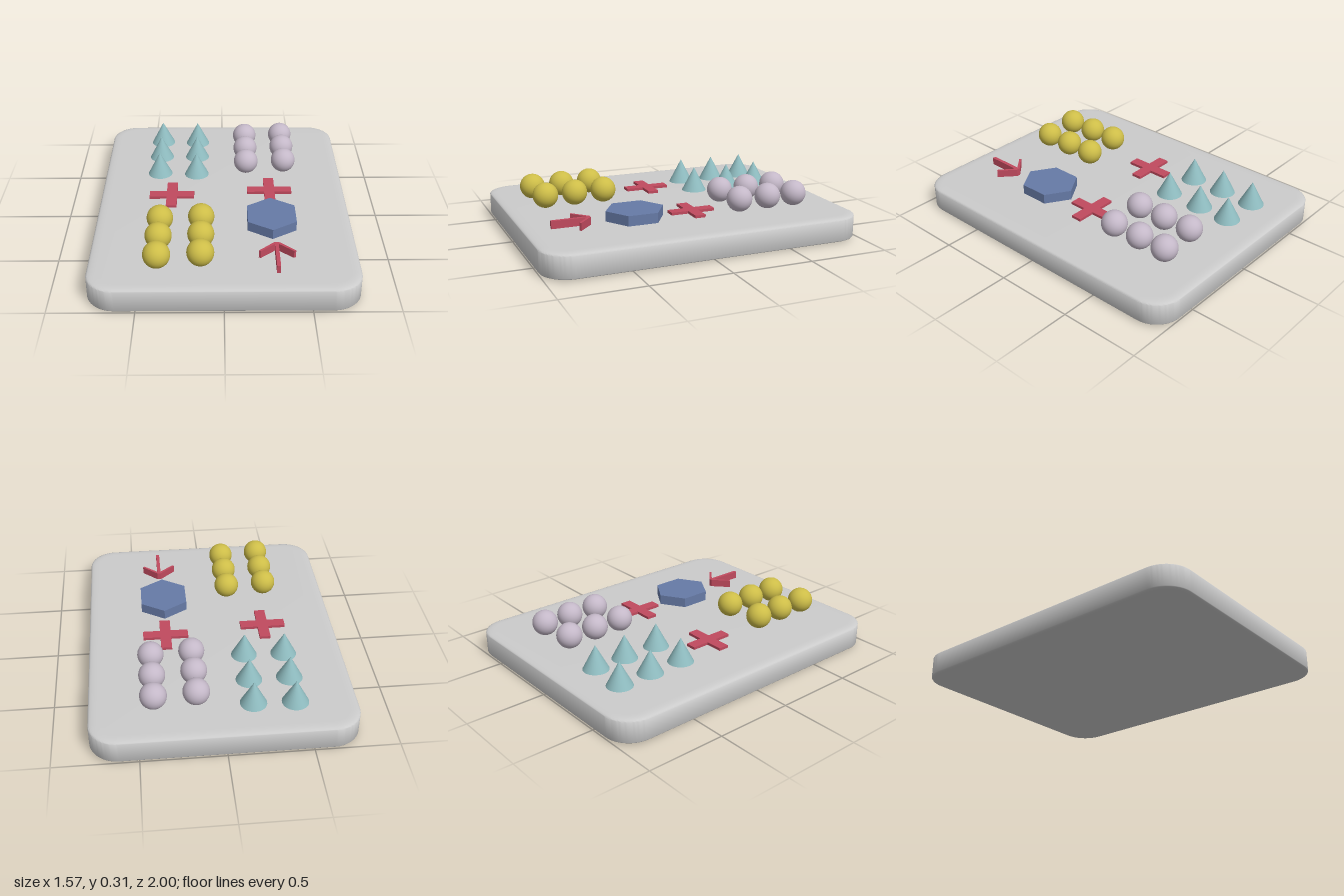
import * as THREE from 'three';
import { toCreasedNormals } from 'three/addons/utils/BufferGeometryUtils.js';

const TOP = 0.155;
const paint = (color) => new THREE.MeshStandardMaterial({ color });

// Upright prism from an outline of [x, z] points, standing on the board
function prism(name, points, height, material, x, z) {
  const shape = new THREE.Shape(points.map(([px, pz]) => new THREE.Vector2(px, -pz)));
  const geometry = new THREE.ExtrudeGeometry(shape, { depth: height, bevelEnabled: false });
  geometry.rotateX(-Math.PI / 2);
  const mesh = new THREE.Mesh(geometry, material);
  mesh.name = name;
  mesh.position.set(x, TOP, z);
  return mesh;
}

// Group of equal pieces at [x, z] places
function cluster(name, geometry, material, y, places) {
  const group = new THREE.Group();
  group.name = name;
  places.forEach(([x, z], i) => {
    const mesh = new THREE.Mesh(geometry, material);
    mesh.name = `${name}${i + 1}`;
    mesh.position.set(x, y, z);
    group.add(mesh);
  });
  return group;
}

// Rounded slab with shallow, softened top and bottom rims
function makeBoard() {
  const w = 0.785, d = 1, r = 0.17, rim = 0.06, lip = 0.014;
  const s = new THREE.Shape();
  s.absarc(w - r, d - r, r, 0, Math.PI / 2);
  s.absarc(r - w, d - r, r, Math.PI / 2, Math.PI);
  s.absarc(r - w, r - d, r, Math.PI, Math.PI * 1.5);
  s.absarc(w - r, r - d, r, Math.PI * 1.5, Math.PI * 2);
  s.closePath();
  const geometry = new THREE.ExtrudeGeometry(s, {
    depth: TOP - 2 * lip, curveSegments: 12, bevelSize: rim,
    bevelOffset: -rim, bevelThickness: lip, bevelSegments: 5,
  });
  geometry.translate(0, 0, lip);
  geometry.rotateX(-Math.PI / 2);
  const board = new THREE.Mesh(toCreasedNormals(geometry, 0.6), paint(0xcccccc));
  board.name = 'board';
  return board;
}

export function createModel() {
  const model = new THREE.Group();
  model.name = 'playBoard';
  const red = paint(0xc04a5e);
  model.add(makeBoard());

  // Cones and balls, in three clusters of six
  const ball = new THREE.SphereGeometry(0.08, 32, 20);
  const cone = new THREE.ConeGeometry(0.08, 0.155, 32);
  model.add(cluster('cone', cone, paint(0x8fbcc0), TOP + 0.0775, [
    [-0.42, -0.75], [-0.175, -0.74], [-0.42, -0.53],
    [-0.175, -0.53], [-0.42, -0.3], [-0.175, -0.29]]));
  model.add(cluster('paleBall', ball, paint(0xc4b8c8), TOP + 0.08, [
    [0.155, -0.7], [0.405, -0.715], [0.155, -0.51],
    [0.405, -0.53], [0.155, -0.32], [0.405, -0.335]]));
  model.add(cluster('yellowBall', ball, paint(0xcdbd48), TOP + 0.08, [
    [-0.385, 0.385], [-0.135, 0.37], [-0.385, 0.575],
    [-0.135, 0.56], [-0.385, 0.77], [-0.135, 0.75]]));

  // Thin flat crosses
  const a = 0.143, b = 0.034;
  const plus = [[b, a], [b, b], [a, b], [a, -b], [b, -b], [b, -a],
    [-b, -a], [-b, -b], [-a, -b], [-a, b], [-b, b], [-b, a]];
  model.add(prism('rightCross', plus, 0.017, red, -0.33, 0));
  model.add(prism('leftCross', plus, 0.017, red, 0.3, -0.055));

  // Hexagonal block
  const hexagon = [[0, 0.185], [0.148, 0.093], [0.148, -0.093],
    [0, -0.185], [-0.148, -0.093], [-0.148, 0.093]];
  model.add(prism('hexagonBlock', hexagon, 0.063, paint(0x667aa6), 0.295, 0.315));

  // Arrow pointing to the back
  const half = [[0.011, 0.84], [0.011, 0.622], [0.096, 0.695], [0.108, 0.688], [0.012, 0.6]];
  const arrow = [...half, ...half.map(([x, z]) => [-x, z]).reverse()];
  model.add(prism('arrow', arrow, 0.048, red, 0.31, 0));

  return model;
}
